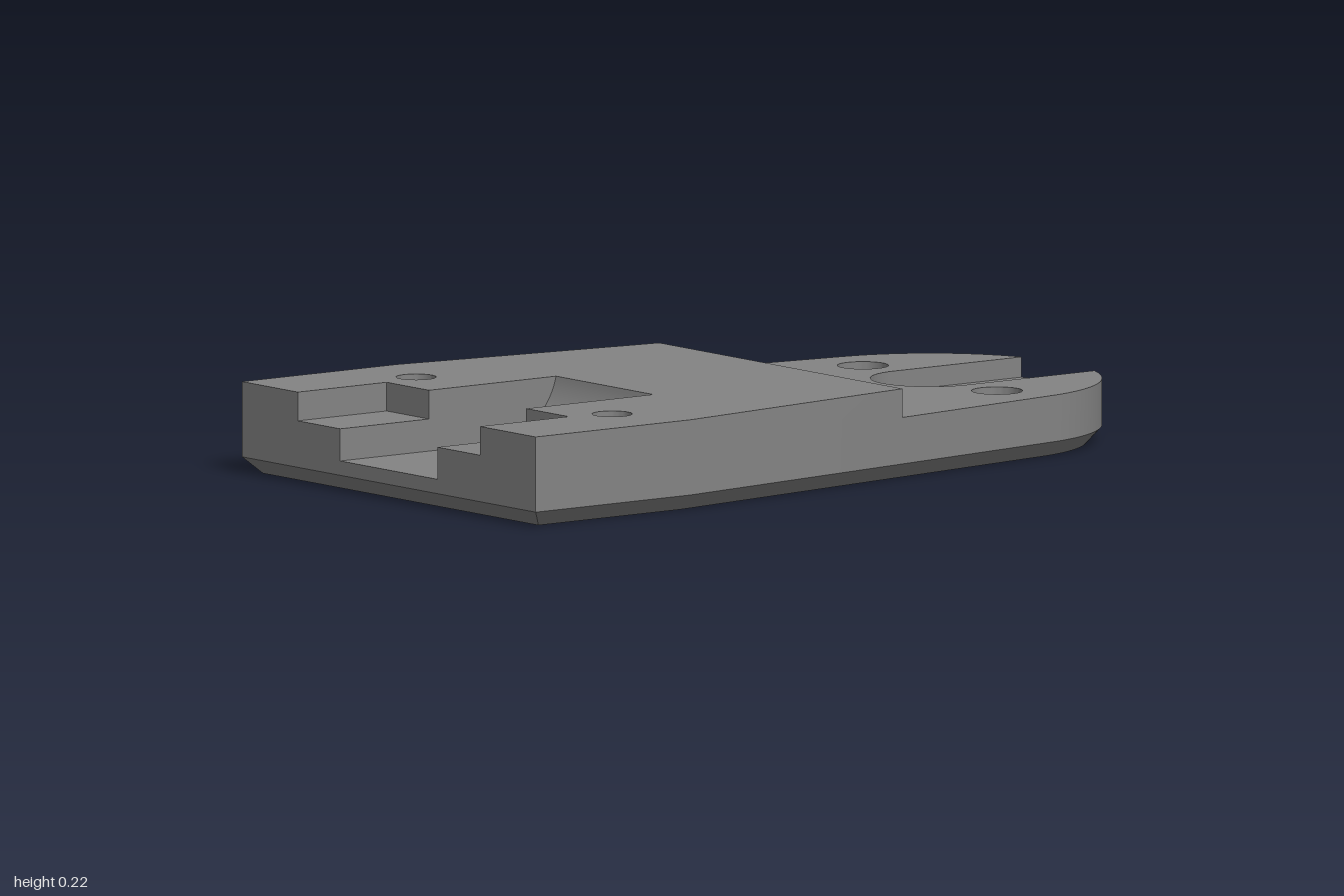
import * as THREE from 'three';
import { mergeGeometries, toCreasedNormals } from 'three/addons/utils/BufferGeometryUtils.js';

const PI = Math.PI;
const TOP = 0.216, DECK = 0.148, SLOT = 0.1, FLOOR = 0.072, EDGE = 0.038;
const STEP_Z = -0.157, STEP_X = 0.468, SIDE_Z = 0.545, LEDGE_Z = 0.738;
const NOSE_Z = -0.597, NOSE_R = 0.403;
const T0 = 0.1376, T1 = Math.acos(0.14 / NOSE_R); // nose angles: tangent to the sides, slot corner

// Plan points [x, z] along an arc; positive angles turn towards the back
function arc(cx, cz, r, t0, t1, n = 24) {
  return Array.from({ length: n + 1 }, (_, i) => {
    const t = t0 + (t1 - t0) * i / n;
    return [cx + r * Math.cos(t), cz - r * Math.sin(t)];
  });
}
const circle = (x, z, r) => arc(x, z, r, 0, -2 * PI, 48);
const lift = (pts, y) => pts.map(([x, z]) => [x, y, z]);
const mirror3 = (pts) => pts.map(([x, y, z]) => [-x, y, z]).reverse();
const mirror2 = (pts) => pts.map(([x, z]) => [-x, z]).reverse();

// Surface between two rows of points
function strip(a, b) {
  const pos = [];
  for (let i = 0; i + 1 < a.length; i++) {
    pos.push(...a[i], ...a[i + 1], ...b[i + 1], ...a[i], ...b[i + 1], ...b[i]);
  }
  const g = new THREE.BufferGeometry();
  g.setAttribute('position', new THREE.Float32BufferAttribute(pos, 3));
  return g;
}
const wall = (pts, y0, y1) => strip(lift(pts, y0), lift(pts, y1));
const bothWalls = (pts, y0, y1) => [wall(pts, y0, y1), wall(mirror2(pts), y0, y1)];

// Horizontal face with holes, facing up or down
function flat(pts, holes, y, down = false) {
  const to2 = (list) => list.map(([x, z]) => new THREE.Vector2(x, down ? z : -z));
  const shape = new THREE.Shape(to2(pts));
  holes.forEach((h) => shape.holes.push(new THREE.Path(to2(h.slice(0, -1)))));
  const g = new THREE.ShapeGeometry(shape).toNonIndexed();
  g.deleteAttribute('uv');
  g.deleteAttribute('normal');
  return g.rotateX(down ? PI / 2 : -PI / 2).translate(0, y, 0);
}

// Right-hand half of the plate outline, inset by o
const half = (o) => [
  [0, 1 - o], [0.565 - o, 1 - o], [0.565 - o, SIDE_Z + 0.07 * o],
  ...arc(0, NOSE_Z, NOSE_R - o, T0, PI / 2, 36),
];

export function createModel() {
  const group = new THREE.Group();
  const material = new THREE.MeshStandardMaterial({ color: 0x848484, side: THREE.DoubleSide });
  const part = (name, geos) => {
    const mesh = new THREE.Mesh(toCreasedNormals(mergeGeometries(geos), 0.5), material);
    mesh.name = name;
    group.add(mesh);
  };

  // Holes: top radius r, counterbore radius R up to height d, top surface at y
  const noseBore = { r: 0.06, R: 0.108, d: 0.07, y: DECK };
  const frontBore = { z: 0.63, r: 0.047, R: 0.086, d: 0.13, y: TOP };
  const bores = [
    { ...noseBore, x: 0.258, z: NOSE_Z },
    { ...noseBore, x: -0.258, z: NOSE_Z },
    { ...noseBore, x: 0, z: NOSE_Z + 0.258 },
    { ...noseBore, x: 0, z: NOSE_Z - 0.258, y: SLOT },
    { ...frontBore, x: 0.377 },
    { ...frontBore, x: -0.377 },
  ];
  const holesAt = (y) => bores.filter((b) => b.y === y).map((b) => circle(b.x, b.z, b.r));
  const centreHole = circle(0, NOSE_Z, 0.13);

  // Chamfered underside
  const inner = half(0.035), outer = half(0);
  const low = lift(inner, 0), high = lift(outer, EDGE);
  part('bottomChamfer', [strip(low, high), strip(mirror3(low), mirror3(high))]);
  part('underside', [flat([...inner, ...mirror2(inner).slice(1, -1)],
    [centreHole, ...bores.map((b) => circle(b.x, b.z, b.R))], 0, true)]);

  // Outer side walls, each run up to its own height
  const noseSide = arc(0, NOSE_Z, NOSE_R, T0, T1);
  part('outerWalls', [
    ...bothWalls([[0, 1], [0.187, 1]], EDGE, FLOOR),
    ...bothWalls([[0.187, 1], [0.35, 1]], EDGE, DECK),
    ...bothWalls([[0.35, 1], [0.565, 1], [0.565, SIDE_Z], [STEP_X, STEP_Z]], EDGE, TOP),
    ...bothWalls([[STEP_X, STEP_Z], ...noseSide], EDGE, DECK),
    ...bothWalls(arc(0, NOSE_Z, NOSE_R, T1, PI / 2, 8), EDGE, SLOT),
  ]);

  // Thick front deck and the step down to the nose
  const deckHalf = [[0.187, 0.363], [0.187, LEDGE_Z], [0.35, LEDGE_Z], [0.35, 1],
    [0.565, 1], [0.565, SIDE_Z], [STEP_X, STEP_Z]];
  part('frontDeck', [flat([...deckHalf, ...mirror2(deckHalf)], holesAt(TOP), TOP)]);
  part('deckStep', [wall([[STEP_X, STEP_Z], [-STEP_X, STEP_Z]], DECK, TOP)]);

  // Ledges beside the channel
  const ledge = [[0.187, LEDGE_Z], [0.35, LEDGE_Z], [0.35, 1], [0.187, 1]];
  part('channelLedges', [
    flat(ledge, [], DECK), flat(mirror2(ledge), [], DECK),
    ...bothWalls(ledge.slice(0, 3), DECK, TOP),
  ]);

  // Front channel with a curved rear ramp
  const R = 0.19, zc = 0.547, yc = FLOOR + R;
  const a0 = Math.asin((yc - TOP) / R);
  const ramp = Array.from({ length: 21 }, (_, i) => {
    const t = a0 + (PI / 2 - a0) * i / 20;
    return [0.187, yc - R * Math.sin(t), zc - R * Math.cos(t)];
  });
  ramp[0] = [0.187, TOP, 0.363];
  const profile = [...ramp, [0.187, FLOOR, LEDGE_Z]];
  const rim = profile.map(([x, , z]) => [x, TOP, z]);
  const rampUp = [...ramp].reverse();
  part('frontChannel', [
    strip(rampUp, rampUp.map(([x, y, z]) => [-x, y, z])),
    flat([[-0.187, zc], [0.187, zc], [0.187, 1], [-0.187, 1]], [], FLOOR),
    strip(profile, rim), strip(mirror3(profile), mirror3(rim)),
    ...bothWalls([[0.187, LEDGE_Z], [0.187, 1]], FLOOR, DECK),
  ]);

  // Rounded nose deck with a slot running into the centre hole
  const zs = NOSE_Z - NOSE_R * Math.sin(T1);
  const slot = [[0.14, zs], ...arc(0, NOSE_Z, 0.14, 0, -PI, 32), [-0.14, zs]];
  part('noseDeck', [flat([...noseSide, ...slot.slice(1, -1), ...mirror2(noseSide),
    [-STEP_X, STEP_Z], [STEP_X, STEP_Z]], holesAt(DECK), DECK)]);
  part('noseSlot', [
    wall(slot, SLOT, DECK),
    flat([...slot, ...arc(0, NOSE_Z, NOSE_R, PI - T1, T1, 16).slice(1, -1)],
      [centreHole, ...holesAt(SLOT)], SLOT),
  ]);

  // Bored holes
  part('centreHole', [wall(centreHole, 0, SLOT)]);
  bores.forEach(({ x, z, r, R: big, d, y }) => part('counterboredHole', [
    wall(circle(x, z, big), 0, d),
    flat(circle(x, z, big).slice(0, -1), [circle(x, z, r)], d, true),
    wall(circle(x, z, r), d, y),
  ]));
  return group;
}
